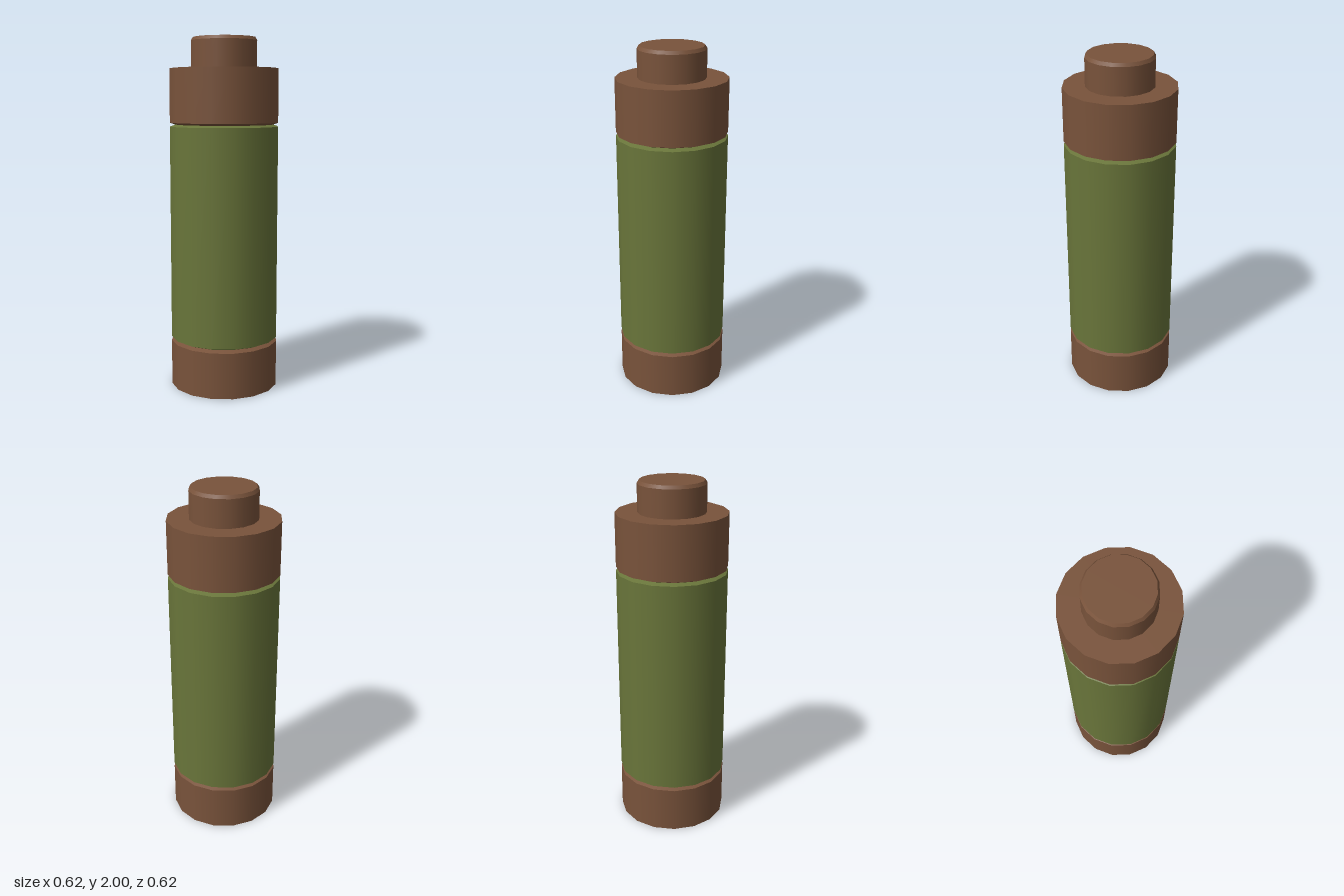
import * as THREE from 'three';
import { mergeGeometries } from 'three/addons/utils/BufferGeometryUtils.js';

const SIDES = 16;

// Stacks open rings along a [radius, y] profile: smooth around, sharp between rings.
// A radius of 0 at either end closes that end with a flat disc.
function turned(name, profile, material) {
  const rings = [];
  for (let i = 0; i < profile.length - 1; i++) {
    const [r0, y0] = profile[i];
    const [r1, y1] = profile[i + 1];
    if (r0 === 0 || r1 === 0) {
      const disc = new THREE.CircleGeometry(Math.max(r0, r1), SIDES);
      disc.rotateX(r0 === 0 ? Math.PI / 2 : -Math.PI / 2);
      rings.push(disc.translate(0, y0, 0));
    } else {
      const ring = new THREE.CylinderGeometry(r1, r0, y1 - y0, SIDES, 1, true);
      rings.push(ring.translate(0, (y0 + y1) / 2, 0));
    }
  }
  const mesh = new THREE.Mesh(mergeGeometries(rings), material);
  mesh.name = name;
  return mesh;
}

export function createModel() {
  const brown = new THREE.MeshStandardMaterial({ name: 'brown', color: 0x79533b });
  const green = new THREE.MeshStandardMaterial({ name: 'olive green', color: 0x69753a });

  const R = 0.31;       // body radius
  const groove = 0.28;  // radius at the bottom of the V grooves

  const model = new THREE.Group();
  model.name = 'battery';
  model.add(
    // Bottom cap, bevelled into the lower groove
    turned('bottomCap', [[0, 0], [R, 0], [R, 0.263], [groove, 0.275]], brown),
    // Sleeve, bevelled at both ends
    turned('sleeve', [[groove, 0.275], [R, 0.287], [R, 1.505], [groove, 1.516]], green),
    // Top cap, bevelled out of the upper groove
    turned('topCap', [[groove, 1.516], [R, 1.527], [R, 1.828], [0, 1.828]], brown),
    // Terminal with a small bevel round its top
    turned('terminal', [[0.188, 1.828], [0.188, 1.982], [0.177, 2], [0, 2]], brown),
  );
  return model;
}
